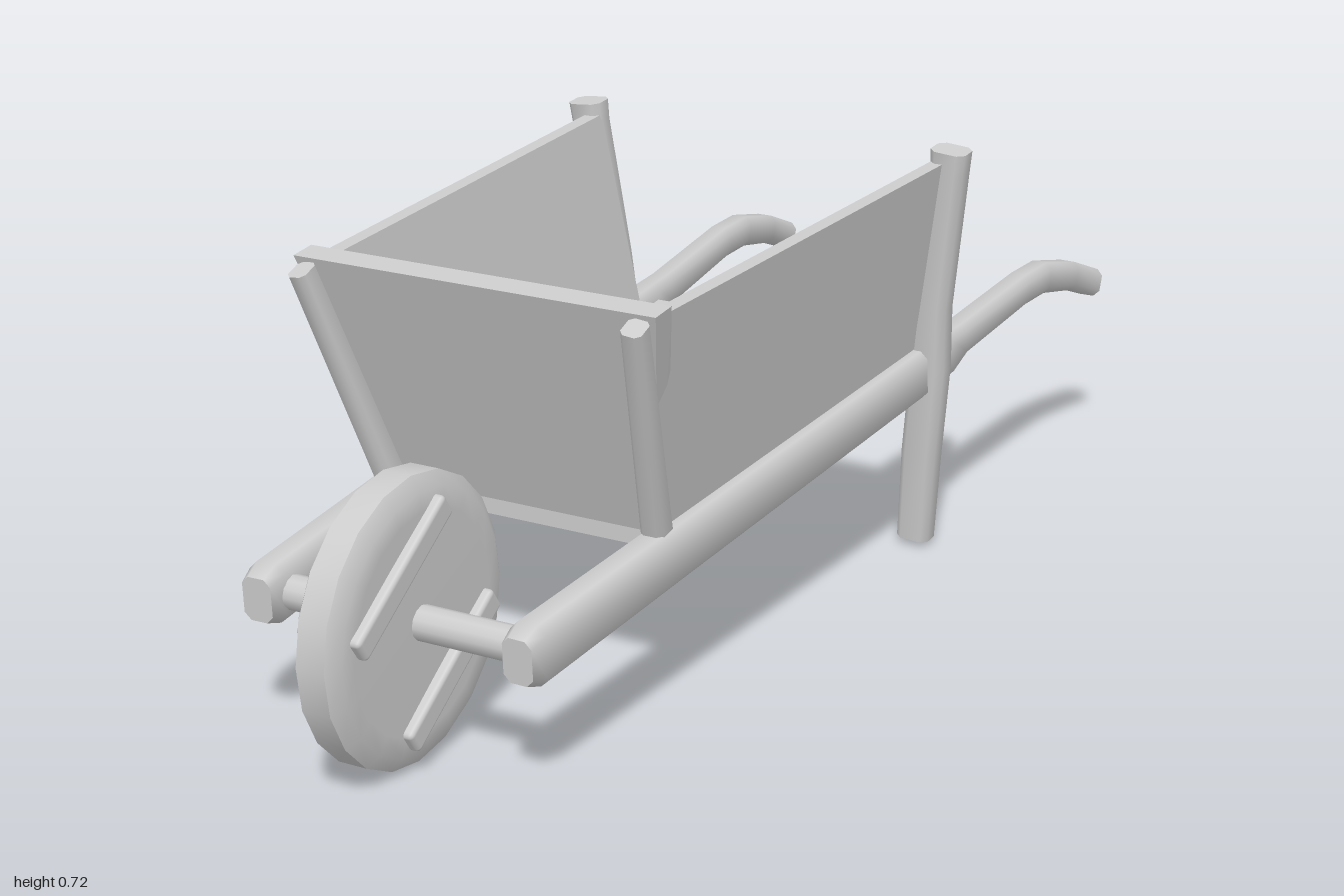
import * as THREE from 'three';
import { toCreasedNormals } from 'three/addons/utils/BufferGeometryUtils.js';
import { ConvexGeometry } from 'three/addons/geometries/ConvexGeometry.js';
import { RoundedBoxGeometry } from 'three/addons/geometries/RoundedBoxGeometry.js';

const material = new THREE.MeshStandardMaterial({ color: 0xcccccc });

function addMesh(parent, name, geometry) {
  const mesh = new THREE.Mesh(geometry, material);
  mesh.name = name;
  parent.add(mesh);
  return mesh;
}

// Wooden bar with bevelled corners; each station is [x, y, z, width, height]
function bar(stations) {
  const pts = stations.map(s => new THREE.Vector3(s[0], s[1], s[2]));
  const pos = [], index = [], n = 8;
  stations.forEach(([, , , w, h], k) => {
    const t = pts[Math.min(k + 1, pts.length - 1)].clone().sub(pts[Math.max(k - 1, 0)]).normalize();
    const side = new THREE.Vector3(1, 0, 0).addScaledVector(t, -t.x).normalize();
    const up = t.clone().cross(side);
    const a = w / 2, b = h / 2, c = Math.min(a, b) * 0.45;
    const ring = [[a, c - b], [a, b - c], [a - c, b], [c - a, b], [-a, b - c], [-a, c - b], [c - a, -b], [a - c, -b]];
    for (const [u, v] of ring) {
      const p = pts[k].clone().addScaledVector(side, u).addScaledVector(up, v);
      pos.push(p.x, p.y, p.z);
    }
  });
  const last = (stations.length - 1) * n;
  for (let k = 0; k < last; k += n) {
    for (let i = 0; i < n; i++) {
      const j = (i + 1) % n;
      index.push(k + i, k + j, k + n + j, k + i, k + n + j, k + n + i);
    }
  }
  for (let i = 1; i < n - 1; i++) {
    index.push(0, i + 1, i, last, last + i, last + i + 1);
  }
  const g = new THREE.BufferGeometry();
  g.setAttribute('position', new THREE.Float32BufferAttribute(pos, 3));
  g.setIndex(index);
  return toCreasedNormals(g, 0.95);
}

// Flat plank spanning eight corners
const plank = corners => new ConvexGeometry(corners.map(c => new THREE.Vector3(...c)));

// Corners mirrored across x = 0
const mirrored = corners => corners.flatMap(([x, y, z]) => [[x, y, z], [-x, y, z]]);

export function createModel() {
  const model = new THREE.Group();
  model.name = 'wheelbarrow';

  for (const s of [-1, 1]) {
    const label = s > 0 ? 'left' : 'right';

    // Long rail that runs back into a curved handle
    addMesh(model, label + 'RailAndHandle', bar([
      [s * 0.225, 0.228, 0.83, 0.05, 0.07],
      [s * 0.226, 0.23, 0.8, 0.06, 0.095],
      [s * 0.245, 0.265, 0.4, 0.06, 0.09],
      [s * 0.283, 0.33, -0.33, 0.055, 0.085],
      [s * 0.287, 0.338, -0.41, 0.052, 0.08],
      [s * 0.29, 0.35, -0.46, 0.05, 0.06],
      [s * 0.303, 0.379, -0.7, 0.05, 0.055],
      [s * 0.306, 0.38, -0.78, 0.05, 0.055],
      [s * 0.313, 0.356, -0.89, 0.05, 0.052],
      [s * 0.32, 0.318, -0.99, 0.048, 0.05],
    ]));

    // Rear post, standing on the ground as a leg
    addMesh(model, label + 'Leg', bar([
      [s * 0.271, 0.018, -0.366, 0.058, 0.046],
      [s * 0.284, 0.18, -0.354, 0.062, 0.05],
      [s * 0.303, 0.34, -0.339, 0.062, 0.052],
      [s * 0.31, 0.45, -0.33, 0.056, 0.05],
      [s * 0.342, 0.69, -0.309, 0.058, 0.05],
      [s * 0.345, 0.725, -0.306, 0.062, 0.05],
    ]));

    // Flared side board of the tray
    addMesh(model, label + 'SideBoard', plank([
      [s * 0.21, 0.27, 0.43], [s * 0.238, 0.27, 0.43],
      [s * 0.25, 0.335, -0.33], [s * 0.278, 0.335, -0.33],
      [s * 0.275, 0.67, 0.585], [s * 0.3, 0.67, 0.585],
      [s * 0.315, 0.705, -0.3], [s * 0.34, 0.705, -0.3],
    ]));

    // Upright batten on the front board
    addMesh(model, label + 'FrontBatten', bar([
      [s * 0.236, 0.28, 0.458, 0.04, 0.045],
      [s * 0.287, 0.665, 0.61, 0.034, 0.04],
    ]));
  }

  // Tilted front board
  addMesh(model, 'frontBoard', plank(mirrored([
    [0.218, 0.275, 0.4], [0.222, 0.275, 0.435],
    [0.312, 0.685, 0.55], [0.312, 0.68, 0.595],
  ])));

  // Tray floor
  addMesh(model, 'floor', plank(mirrored([
    [0.225, 0.262, 0.44], [0.225, 0.295, 0.44],
    [0.265, 0.322, -0.4], [0.265, 0.352, -0.4],
  ])));

  // Wheel assembly
  const wheel = new THREE.Group();
  wheel.name = 'wheelAssembly';
  wheel.position.set(-0.005, 0.229, 0.78);
  model.add(wheel);

  // Solid disc with a worn, rounded rim
  const profile = [[0, -0.036], [0.17, -0.04], [0.2, -0.039], [0.222, -0.024],
    [0.222, 0.024], [0.2, 0.039], [0.17, 0.04], [0, 0.036]];
  const disc = new THREE.LatheGeometry(profile.map(p => new THREE.Vector2(...p)), 20);
  disc.rotateZ(Math.PI / 2);
  addMesh(wheel, 'wheelDisc', toCreasedNormals(disc, 0.6));

  // Axle between the rails
  const axle = new THREE.CylinderGeometry(0.027, 0.027, 0.44, 12);
  axle.rotateZ(Math.PI / 2);
  addMesh(wheel, 'axle', axle).position.x = 0.005;

  // Parallel battens on both faces of the disc
  for (const s of [-1, 1]) {
    for (const [y, z] of [[0.094, 0.06], [-0.094, -0.06]]) {
      const batten = addMesh(wheel, 'wheelBatten', new RoundedBoxGeometry(0.028, 0.042, 0.27, 2, 0.008));
      batten.position.set(s * 0.041, y, z);
      batten.rotation.x = 0.6;
    }
  }

  return model;
}
